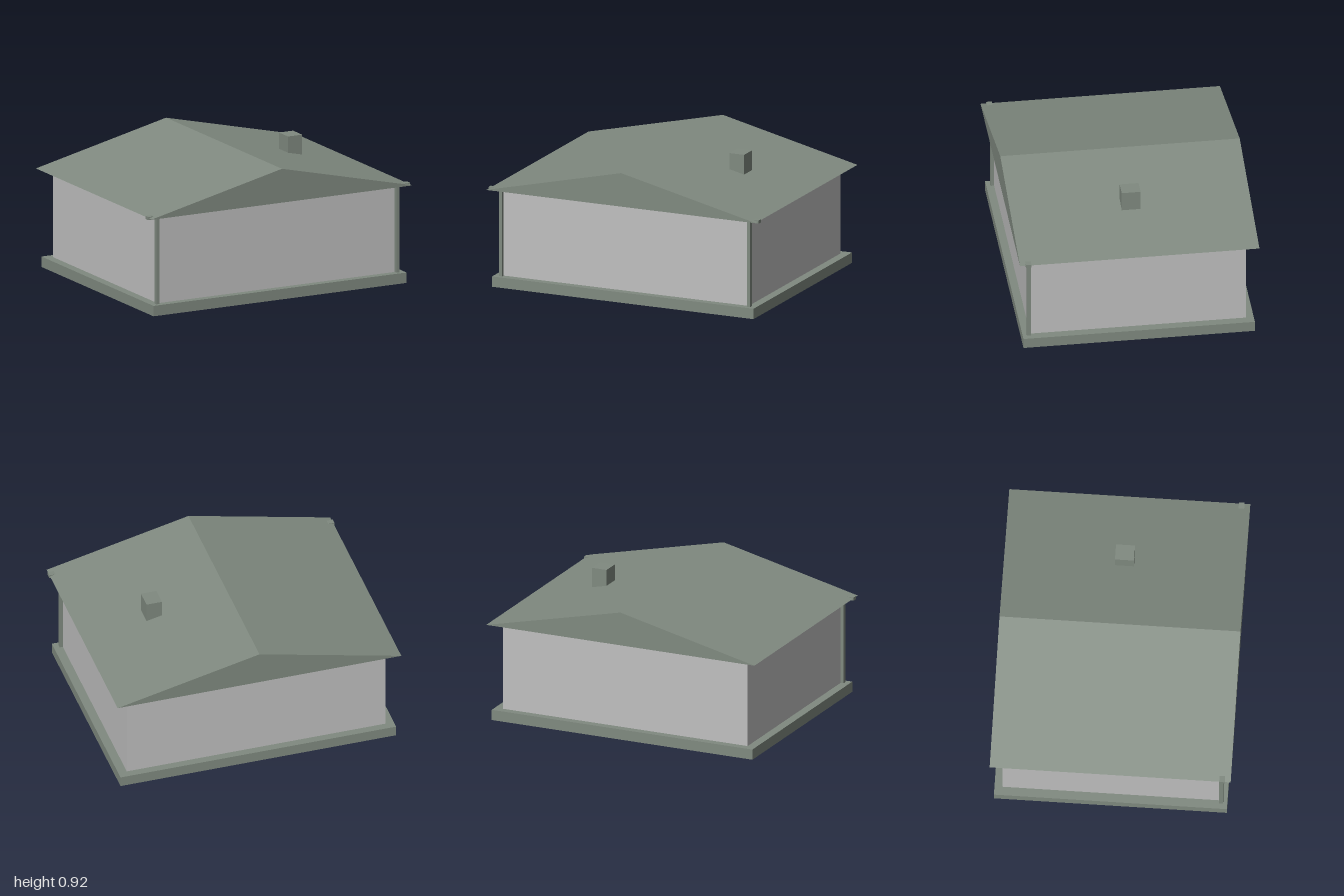
import * as THREE from 'three';

export function createModel() {
  const house = new THREE.Group();
  house.name = 'house';

  const trim = new THREE.MeshStandardMaterial({ color: 0x808a80 });
  trim.name = 'grey green';
  const plaster = new THREE.MeshStandardMaterial({ color: 0xc0c0c0 });
  plaster.name = 'light grey';

  const add = (name, geometry, material) => {
    const mesh = new THREE.Mesh(geometry, material);
    mesh.name = name;
    house.add(mesh);
    return mesh;
  };

  // Box given by its lowest and highest corners
  const box = (name, [x0, y0, z0], [x1, y1, z1], material) =>
    add(name, new THREE.BoxGeometry(x1 - x0, y1 - y0, z1 - z0), material)
      .position.set((x0 + x1) / 2, (y0 + y1) / 2, (z0 + z1) / 2);

  // Foundation slab and walls
  box('foundation', [-0.967, 0, -0.783], [0.967, 0.072, 0.783], trim);
  box('walls', [-0.907, 0.072, -0.73], [0.907, 0.678, 0.73], plaster);

  // Gabled roof, a solid prism running front to back
  const gable = new THREE.Shape([
    new THREE.Vector2(-0.995, 0.678),
    new THREE.Vector2(0.995, 0.678),
    new THREE.Vector2(0, 0.91),
  ]);
  const roof = new THREE.ExtrudeGeometry(gable, { depth: 1.62, bevelEnabled: false });
  roof.translate(0, 0, -0.81);
  add('roof', roof, trim);

  // Chimney rising from the left slope
  box('chimney', [0.455, 0.74, -0.064], [0.563, 0.916, 0.064], trim);

  // Front beam with a post under each end
  box('frontBeam', [-1, 0.665, 0.733], [1, 0.687, 0.771], trim);
  for (const [side, x] of [['left', 0.917], ['right', -0.917]]) {
    box(side + 'Post', [x - 0.012, 0.072, 0.728], [x + 0.012, 0.678, 0.755], trim);
  }

  return house;
}
